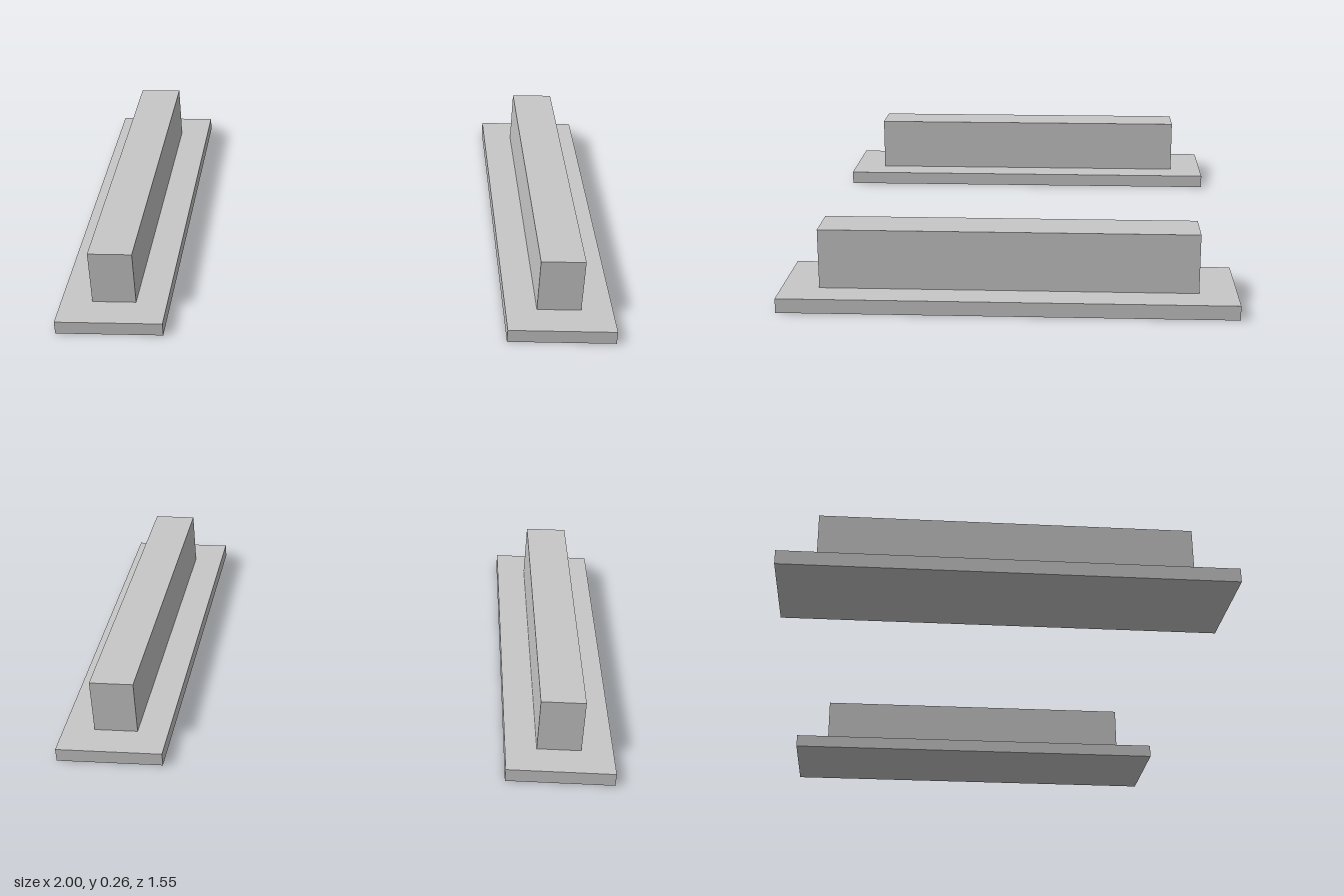
import * as THREE from 'three';

export function createModel() {
  const model = new THREE.Group();
  const grey = new THREE.MeshStandardMaterial({ color: 0xc7c7c7 });
  grey.name = 'light grey';

  // Box resting at height y, centred on its parent
  const addBox = (parent, name, width, height, depth, y) => {
    const mesh = new THREE.Mesh(new THREE.BoxGeometry(width, height, depth), grey);
    mesh.name = name;
    mesh.position.y = y + height / 2;
    parent.add(mesh);
  };

  // Two matching rails, each a flat base plate with an upright bar
  for (const [side, name] of [[1, 'leftRail'], [-1, 'rightRail']]) {
    const rail = new THREE.Group();
    rail.name = name;
    rail.position.x = side * 0.806;
    addBox(rail, 'basePlate', 0.388, 0.05, 1.548, 0);
    addBox(rail, 'bar', 0.16, 0.207, 1.29, 0.05);
    model.add(rail);
  }
  return model;
}
